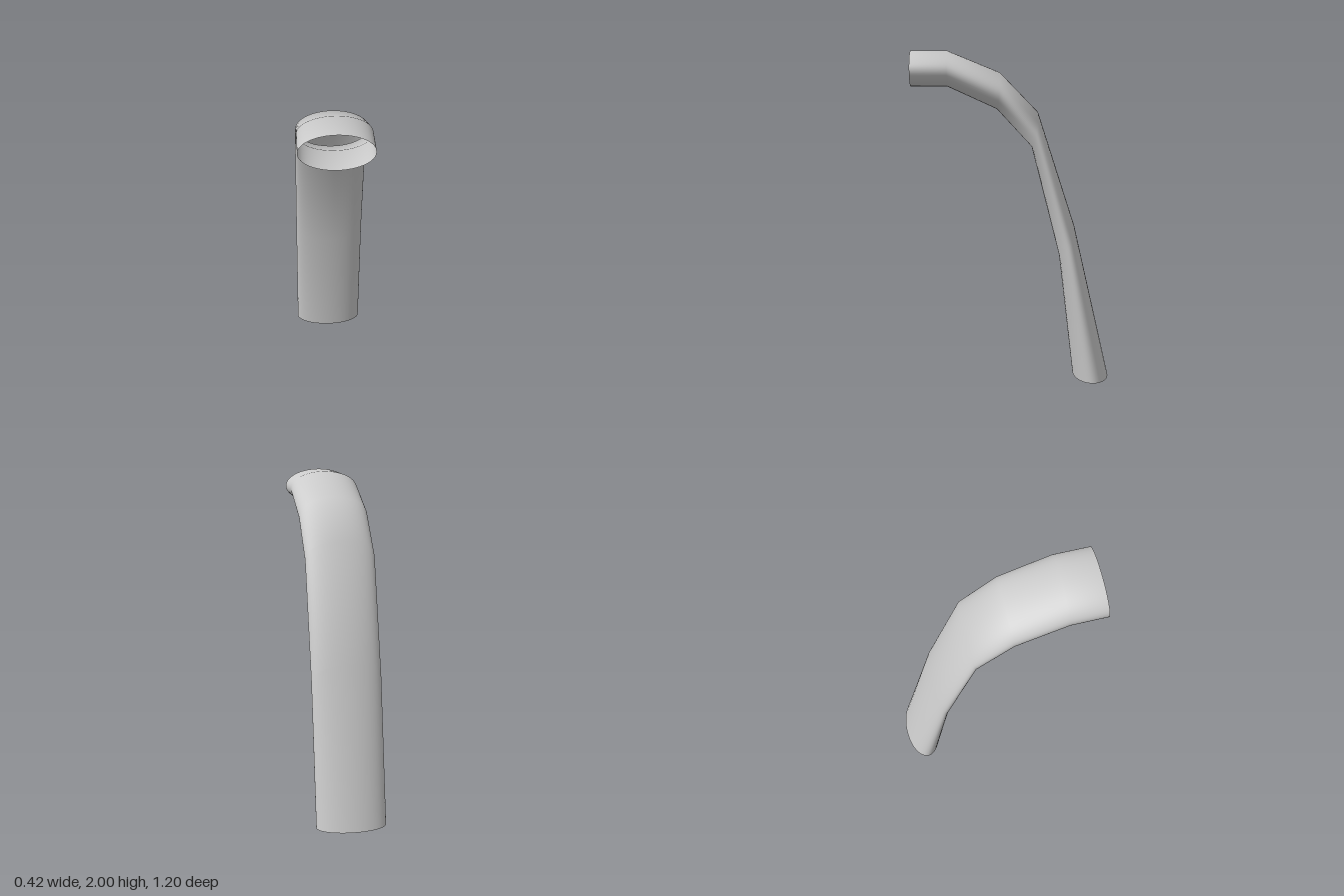
import * as THREE from 'three';

// Cross-sections from the front mouth to the foot: outer z, y and inner z, y
const SECTIONS = [
  [0.6, 2.0, 0.6, 1.79],
  [0.385, 2.0, 0.385, 1.79],
  [0.07, 1.87, 0.09, 1.655],
  [-0.157, 1.635, -0.12, 1.428],
  [-0.38, 0.945, -0.293, 0.75],
  [-0.597, 0, -0.382, 0],
];
const HALF_WIDTH = 0.208;
const SIDES = 64;

// Joins elliptical rings into an open, smooth tube
function ringTube(sections) {
  const positions = [];
  const indices = [];
  sections.forEach(([oz, oy, iz, iy], i) => {
    for (let j = 0; j < SIDES; j++) {
      const a = (j / SIDES) * Math.PI * 2;
      const t = (1 - Math.cos(a)) / 2;
      positions.push(HALF_WIDTH * Math.sin(a), oy + (iy - oy) * t, oz + (iz - oz) * t);
      if (i < sections.length - 1) {
        const p = i * SIDES + j;
        const q = i * SIDES + ((j + 1) % SIDES);
        indices.push(p, q, p + SIDES, q, q + SIDES, p + SIDES);
      }
    }
  });
  const geometry = new THREE.BufferGeometry();
  geometry.setAttribute('position', new THREE.Float32BufferAttribute(positions, 3));
  geometry.setIndex(indices);
  geometry.computeVertexNormals();
  return geometry;
}

export function createModel() {
  const group = new THREE.Group();
  group.name = 'bentPipe';

  // Thin pipe wall, open at both ends
  const material = new THREE.MeshStandardMaterial({ color: 0xcccccc, side: THREE.DoubleSide });
  const pipe = new THREE.Mesh(ringTube(SECTIONS), material);
  pipe.name = 'pipeWall';
  group.add(pipe);
  return group;
}
